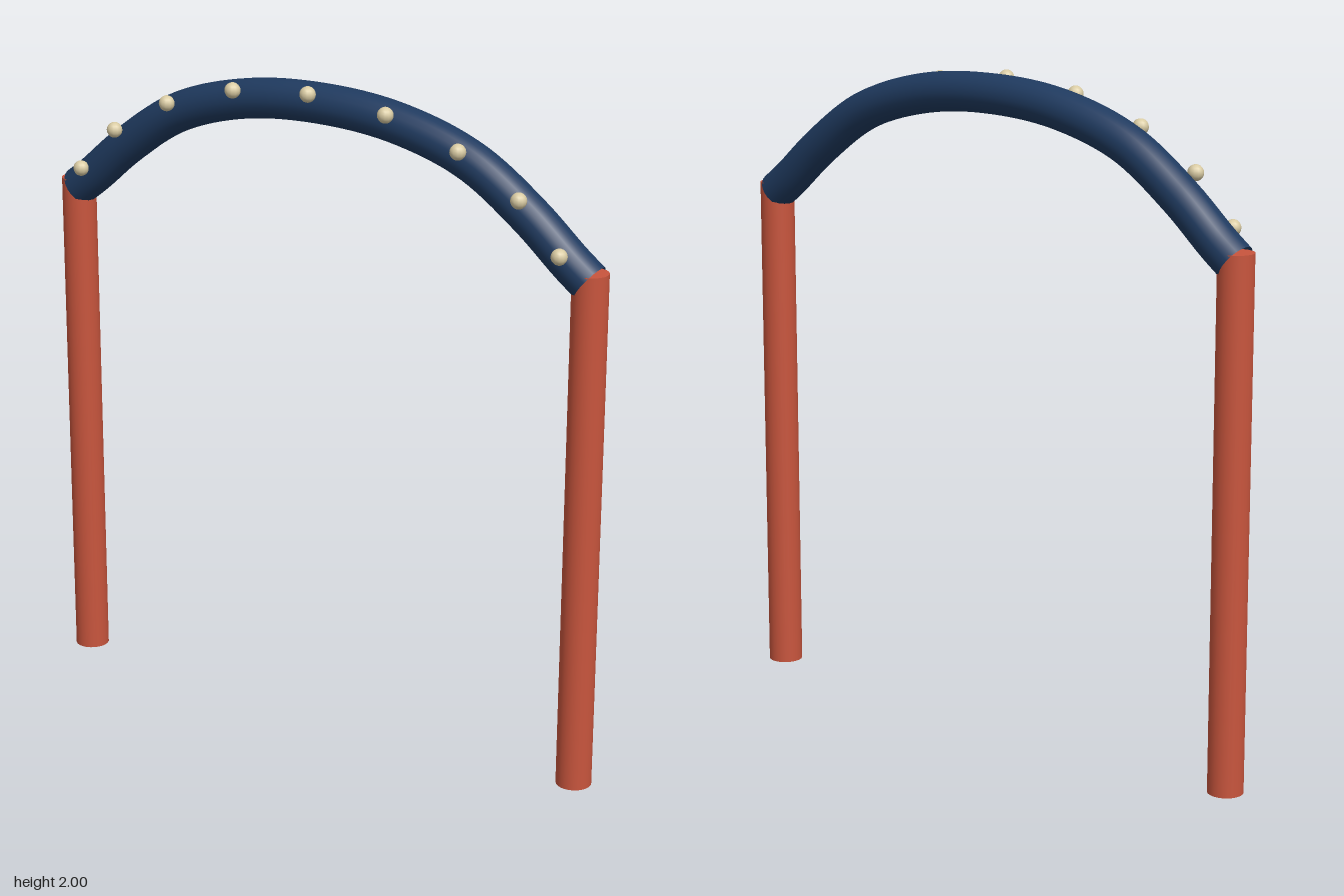
import * as THREE from 'three';

const material = (name, color, side = THREE.FrontSide) => {
  const m = new THREE.MeshStandardMaterial({ color, side });
  m.name = name;
  return m;
};

export function createModel() {
  const group = new THREE.Group();
  group.name = 'archway';
  const red = material('brick red', 0xc8553d);
  const navy = material('navy blue', 0x1f3a5f, THREE.DoubleSide);
  const cream = material('cream', 0xd9cba3);
  const z = -0.016;

  const add = (name, geometry, mat, x, y, depth) => {
    const mesh = new THREE.Mesh(geometry, mat);
    mesh.name = name;
    mesh.position.set(x, y, depth);
    group.add(mesh);
  };

  // Two round posts
  const postHeight = 1.582;
  const post = new THREE.CylinderGeometry(0.053, 0.053, postHeight, 24);
  add('leftPost', post, red, 0.902, postHeight / 2, z);
  add('rightPost', post, red, -0.902, postHeight / 2, z);

  // Arched beam, mirrored about its crown, with open ends
  const half = [[0.9, 1.553], [0.84, 1.599], [0.705, 1.714], [0.51, 1.843], [0.265, 1.918]];
  const points = [
    ...half.map(([x, y]) => new THREE.Vector3(-x, y, 0)),
    new THREE.Vector3(0, 1.94, 0),
    ...half.slice().reverse().map(([x, y]) => new THREE.Vector3(x, y, 0)),
  ];
  const curve = new THREE.CatmullRomCurve3(points);
  add('archBeam', new THREE.TubeGeometry(curve, 64, 0.06, 20, false), navy, 0, 0, z);

  // Row of small bulbs along the front of the beam
  const bulb = new THREE.SphereGeometry(0.024, 12, 10);
  const bulbs = [[0.838, 1.634], [0.705, 1.774], [0.506, 1.884], [0.265, 1.956]];
  add('bulb', bulb, cream, 0, 1.98, 0.052);
  for (const [x, y] of bulbs) {
    for (const side of [-1, 1]) add('bulb', bulb, cream, side * x, y, 0.052);
  }

  return group;
}
